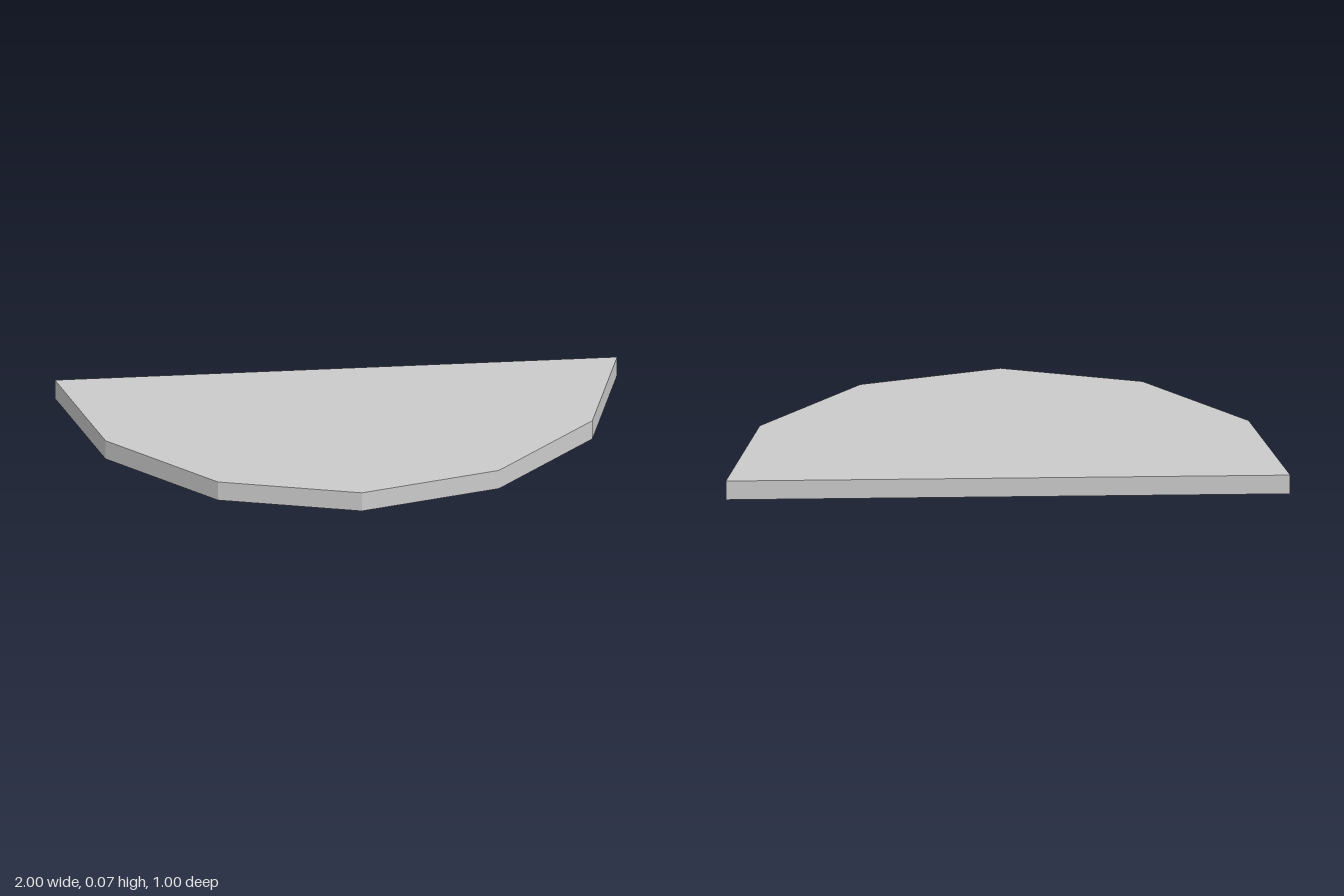
import * as THREE from 'three';

export function createModel() {
  const group = new THREE.Group();
  const height = 0.072, sides = 12, depth = 0.995;

  // Half of a twelve-sided disc: straight back edge, faceted front
  const outline = new THREE.Shape();
  for (let i = 0; i <= sides / 2; i++) {
    const a = (i / sides) * Math.PI * 2;
    const x = Math.cos(a);
    const y = -Math.max(Math.sin(a), 0) * depth + depth / 2;
    if (i === 0) outline.moveTo(x, y);
    else outline.lineTo(x, y);
  }
  outline.closePath();

  // Extrude the outline and lay it flat on the ground
  const geometry = new THREE.ExtrudeGeometry(outline, { depth: height, bevelEnabled: false });
  geometry.rotateX(-Math.PI / 2);

  const slab = new THREE.Mesh(
    geometry,
    new THREE.MeshStandardMaterial({ color: 0xcccccc, flatShading: true })
  );
  slab.name = 'halfRoundSlab';
  group.add(slab);
  return group;
}
